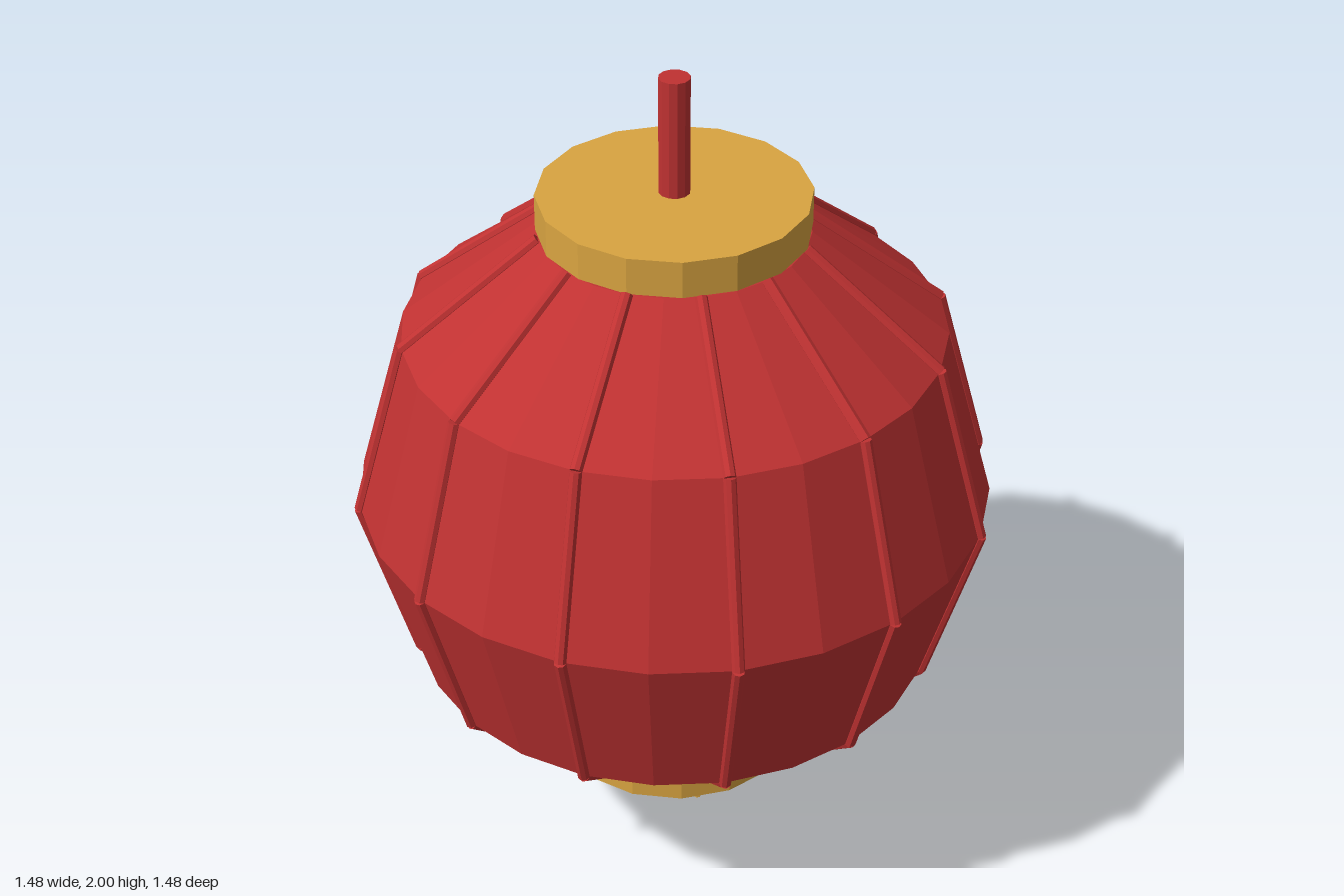
import * as THREE from 'three';

const red = new THREE.MeshStandardMaterial({ color: 0xc03232 });
red.name = 'lanternRed';
const gold = new THREE.MeshStandardMaterial({ color: 0xd9a441 });
gold.name = 'gold';

// Unshared vertices give crisp low-poly facets
function faceted(geometry) {
  const g = geometry.toNonIndexed();
  g.computeVertexNormals();
  return g;
}

function addMesh(parent, name, geometry, material) {
  const mesh = new THREE.Mesh(faceted(geometry), material);
  mesh.name = name;
  parent.add(mesh);
  return mesh;
}

// Straight rod between two points
function addRod(parent, name, a, b, radius, sides, material) {
  const dir = b.clone().sub(a);
  const mesh = addMesh(parent, name, new THREE.CylinderGeometry(radius, radius, dir.length(), sides), material);
  mesh.position.copy(a).add(b).multiplyScalar(0.5);
  mesh.quaternion.setFromUnitVectors(new THREE.Vector3(0, 1, 0), dir.normalize());
  return mesh;
}

export function createModel() {
  const lantern = new THREE.Group();
  lantern.name = 'lantern';

  // Outline shared by the shade and its ribs: radius, height
  const profile = [
    [0.3, 0.325], [0.61, 0.565], [0.727, 0.98], [0.61, 1.395], [0.3, 1.64],
  ].map(([r, y]) => new THREE.Vector2(r, y));

  // Paper shade, closed at both ends
  const shade = [new THREE.Vector2(0, 0.325), ...profile, new THREE.Vector2(0, 1.64)];
  addMesh(lantern, 'shade', new THREE.LatheGeometry(shade, 24), red);

  // Twelve ribs, each following the outline
  for (let i = 0; i < 12; i++) {
    const rib = new THREE.Group();
    rib.name = 'rib';
    rib.rotation.y = (i * Math.PI) / 6;
    for (let j = 0; j < profile.length - 1; j++) {
      const a = new THREE.Vector3(0, profile[j].y, profile[j].x);
      const b = new THREE.Vector3(0, profile[j + 1].y, profile[j + 1].x);
      addRod(rib, 'ribSegment', a, b, 0.014, 8, red);
    }
    lantern.add(rib);
  }

  // Gold end caps
  for (const [name, y] of [['topCap', 1.685], ['bottomCap', 0.29]]) {
    addMesh(lantern, name, new THREE.CylinderGeometry(0.303, 0.303, 0.085, 16), gold).position.y = y;
  }

  // Hanging cord
  addRod(lantern, 'cord', new THREE.Vector3(0, 1.7, 0), new THREE.Vector3(0, 2, 0), 0.035, 12, red);

  // Tassel strands fanned out sideways
  for (let i = -2; i <= 2; i++) {
    const top = new THREE.Vector3(i * 0.0155, 0.26, 0);
    const bottom = new THREE.Vector3(i * 0.031, 0.002, 0);
    addRod(lantern, 'tasselStrand', top, bottom, 0.009, 6, gold);
  }

  return lantern;
}
